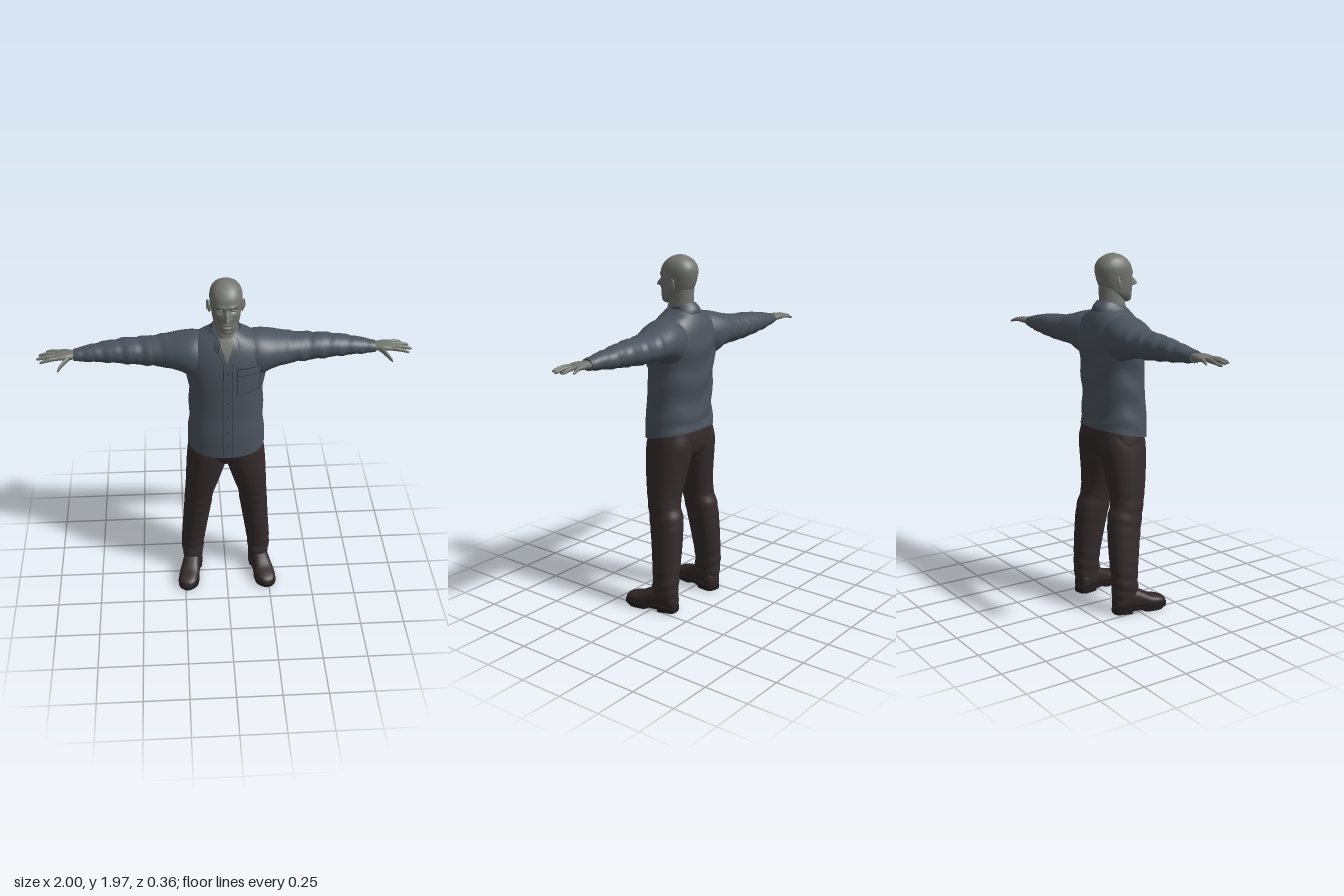
import * as THREE from 'three';

const paint = (name, color, side = THREE.FrontSide) => {
  const m = new THREE.MeshStandardMaterial({ color, side });
  m.name = name;
  return m;
};

// Smooth lookup in a key table; the first column is the parameter
function sample(keys, p) {
  let i = 0;
  while (i < keys.length - 2 && p > keys[i + 1][0]) i++;
  const a = keys[i], b = keys[i + 1], h = b[0] - a[0], t = (p - a[0]) / h;
  const slope = (k, c) => {
    const l = keys[Math.max(k - 1, 0)], r = keys[Math.min(k + 1, keys.length - 1)];
    return (r[c] - l[c]) / (r[0] - l[0]);
  };
  return a.map((v, c) => c === 0 ? p :
    v * (1 + 2 * t) * (1 - t) ** 2 + b[c] * t * t * (3 - 2 * t) +
    h * (slope(i, c) * t * (1 - t) ** 2 - slope(i + 1, c) * t * t * (1 - t)));
}

// Closed tube through interpolated cross-sections, capped at both ends
function loft(keys, rows, cols, place) {
  const pos = [], idx = [], first = keys[0][0], last = keys[keys.length - 1][0];
  for (let i = 0; i <= rows; i++) {
    const k = sample(keys, first + (last - first) * (1 - Math.cos(Math.PI * i / rows)) / 2);
    for (let j = 0; j < cols; j++) {
      const a = j / cols * Math.PI * 2;
      pos.push(...place(k, Math.cos(a), Math.sin(a), a));
      if (i < rows) {
        const p = i * cols + j, q = i * cols + (j + 1) % cols;
        idx.push(p, p + cols, q, q, p + cols, q + cols);
      }
    }
  }
  for (const row of [0, rows]) {
    const base = pos.length / 3, ring = pos.slice(row * cols * 3, (row + 1) * cols * 3);
    const mid = [0, 1, 2].map(c => ring.reduce((s, v, n) => n % 3 === c ? s + v : s, 0) / cols);
    pos.push(...ring, ...mid);
    for (let j = 0; j < cols; j++) {
      const p = base + j, q = base + (j + 1) % cols, m = base + cols;
      idx.push(...(row ? [p, m, q] : [p, q, m]));
    }
  }
  return build(pos, idx);
}

// Open sheet from a function of two parameters in 0..1
function sheet(nu, nv, fn) {
  const pos = [], idx = [];
  for (let i = 0; i <= nv; i++) for (let j = 0; j <= nu; j++) {
    pos.push(...fn(j / nu, i / nv));
    if (i < nv && j < nu) {
      const p = i * (nu + 1) + j, q = p + nu + 1;
      idx.push(p, p + 1, q, p + 1, q + 1, q);
    }
  }
  return build(pos, idx);
}

function build(pos, idx) {
  const g = new THREE.BufferGeometry();
  g.setAttribute('position', new THREE.Float32BufferAttribute(pos, 3));
  g.setIndex(idx);
  g.computeVertexNormals();
  return g;
}

function mirror(geo) {
  const g = geo.clone().scale(-1, 1, 1), ix = g.index;
  if (!ix) {
    const order = [];
    for (let i = 0; i < g.attributes.position.count; i += 3) order.push(i, i + 2, i + 1);
    g.setIndex(order);
  } else for (let i = 0; i < ix.count; i += 3) {
    const b = ix.getX(i + 1);
    ix.setX(i + 1, ix.getX(i + 2));
    ix.setX(i + 2, b);
  }
  return g;
}

const power = (v, n) => Math.sign(v) * Math.abs(v) ** (2 / n);
const bell = (d, s) => Math.exp(-((d / s) ** 2));
const step = THREE.MathUtils.smoothstep;

// Torso sections: y, half width, front z, back z
const TORSO = [[1.0, .212, .15, -.163], [1.1, .205, .15, -.156], [1.2, .2, .141, -.156], [1.35, .2, .135, -.165],
  [1.45, .213, .13, -.171], [1.53, .222, .12, -.172], [1.6, .2, .1, -.157], [1.645, .15, .078, -.137],
  [1.67, .1, .063, -.12], [1.69, .078, .05, -.108]];
const torsoZ = (x, y) => {
  const [, w, f, b] = sample(TORSO, Math.max(y, 1));
  return (f + b) / 2 + (f - b) / 2 * Math.max(0, 1 - Math.abs(x / w) ** 2.3) ** (1 / 2.3);
};
const onChest = (y0, y1, left, right, off) => sheet(10, 24, (u, v) => {
  const y = y0 + (y1 - y0) * v, x = left(y) + (right(y) - left(y)) * u;
  return [x, y, torsoZ(x, y) + off];
});

// Raised nose, brow, lips and chin with sunken eye sockets
function face(x, y) {
  const ax = Math.abs(x);
  const nose = .046 * step(y, 1.786, 1.8) * (1 - step(y, 1.798, 1.862)) * bell(x, .011 + .006 * bell(y - 1.798, .012));
  return nose + .007 * bell(y - 1.865, .009) * bell(ax - .03, .03) - .015 * bell(ax - .032, .017) * bell(y - 1.845, .011)
    + .004 * bell(ax - .05, .016) * bell(y - 1.815, .014) - .005 * bell(ax - .045, .016) * bell(y - 1.768, .02)
    + (.006 * bell(y - 1.766, .006) - .006 * bell(y - 1.757, .0035) + .006 * bell(y - 1.748, .006)) * bell(x, .023)
    + .007 * bell(y - 1.723, .011) * bell(x, .022);
}

export function createModel() {
  const model = new THREE.Group();
  model.name = 'standingMan';
  const skin = paint('skin', 0x73756f), shirt = paint('shirt', 0x4b535d), trouser = paint('trousers', 0x352c2c);
  const leather = paint('shoeLeather', 0x302727), soleMat = paint('soles', 0x221d1e);
  const cloth = paint('shirtTrim', 0x4b535e, THREE.DoubleSide), seam = paint('seams', 0x30353c, THREE.DoubleSide);
  const chestSkin = paint('chestSkin', 0x73756f, THREE.DoubleSide);
  const add = (name, geo, mat) => {
    const m = new THREE.Mesh(geo, mat);
    m.name = name;
    model.add(m);
  };
  const pair = (name, geo, mat) => {
    add(name + 'Left', geo, mat);
    add(name + 'Right', mirror(geo), mat);
  };
  const upright = n => ([y, w, f, b], c, s) => [w * power(c, n), y, (f + b) / 2 + (f - b) / 2 * power(s, n)];
  const sideways = (n, fold = () => 0) => ([x, t, b, f, k], c, s, a) => {
    const r = 1 + fold(x, a);
    return [x, (t + b) / 2 + (t - b) / 2 * r * power(s, n), (f + k) / 2 + (f - k) / 2 * r * power(c, n)];
  };

  // Head and neck
  add('head', loft([[1.708, .022, .085, .03], [1.715, .036, .094, .01], [1.735, .054, .099, -.03], [1.76, .067, .101, -.065],
    [1.8, .075, .103, -.09], [1.84, .081, .102, -.104], [1.88, .085, .098, -.111], [1.91, .081, .088, -.106],
    [1.94, .066, .063, -.084], [1.96, .04, .031, -.051], [1.967, .021, .01, -.03], [1.97, .003, -.007, -.013]],
  100, 112, (k, c, s) => {
    const p = upright(2.2)(k, c, s);
    p[2] += face(p[0], p[1]) * step(s, 0, .5);
    return p;
  }), skin);
  add('neck', loft([[1.58, .07, .07, -.1], [1.68, .064, .064, -.092], [1.72, .061, .052, -.09], [1.79, .06, .03, -.09]],
    16, 40, upright(2)), skin);
  pair('eyelid', new THREE.SphereGeometry(.012, 16, 12).scale(1.2, .65, .7).translate(.032, 1.843, .083), skin);
  pair('ear', new THREE.SphereGeometry(.03, 20, 14).scale(.28, 1, .62).rotateY(-.3).rotateX(-.15).translate(.086, 1.814, -.022), skin);
  pair('earRim', new THREE.TorusGeometry(.024, .005, 8, 28, 4.4).rotateZ(-.9).scale(.7, 1.2, 1)
    .rotateY(Math.PI / 2 - .3).rotateX(-.15).translate(.092, 1.816, -.024), skin);

  // Shirt body, with the hem dipping at the front
  add('shirtBody', loft(TORSO, 64, 80, (k, c, s, a) => {
    const p = upright(2.3)(k, c, s), y = k[0];
    const fold = .004 * Math.sin(y * 34 + 3 * c + Math.sin(a * 3) * 1.5) * (1 - step(s, 0, .5)) * step(y, 1, 1.08) * (1 - step(y, 1.5, 1.6));
    p[0] += c * fold;
    p[2] += s * fold;
    p[1] -= .034 * power(s, 2.3) * (1 - step(y, 1, 1.14));
    return p;
  }), shirt);

  // Open neckline, button strip and chest pocket
  add('openNeckline', onChest(1.55, 1.672, y => (1.55 - y) * .36, y => (y - 1.55) * .36, .006), chestSkin);
  add('placketSeam', onChest(.975, 1.55, () => -.022, () => .026, .004), seam);
  add('placket', onChest(.972, 1.555, () => -.019, () => .023, .006), cloth);
  const pocketLow = x => onChest(1.375 - x, 1.515 + x, () => .054 - x, () => .172 + x, .005 + (x ? 0 : .003));
  add('pocketSeam', pocketLow(.004), seam);
  add('pocket', pocketLow(0), cloth);
  add('pocketFlapSeam', onChest(1.477, 1.48, () => .054, () => .172, .0095), seam);
  for (let i = 0; i < 6; i++) {
    const y = 1.05 + i * .09;
    add('button' + (i + 1), new THREE.CylinderGeometry(.005, .005, .004, 12).rotateX(Math.PI / 2).translate(.002, y, torsoZ(0, y) + .007), seam);
  }

  // Turned-down collar with front points
  const collar = grow => sheet(60, 8, (u, v) => {
    const th = .5 - grow + u * (Math.PI * 2 - 1 + 2 * grow), c = Math.cos(th), f = (1 + c) / 2, w = 1 - v;
    const top = [.07 * Math.sin(th), 1.722 - .05 * f, -.015 + .083 * c];
    const low = [(.103 + grow * .04) * Math.sin(th), 1.665 - .02 * f - (.05 + grow * .1) * f ** 5, -.018 + .112 * c + .034 * f ** 4];
    return top.map((t, i) => t * v + low[i] * w + (i === 2 ? .01 * Math.sin(Math.PI * v) * c - grow * .06 * c : 0));
  });
  add('collar', collar(0), cloth);
  add('collarSeam', collar(.05), seam);

  // Sleeves with gathered folds
  pair('sleeve', loft([[.09, 1.645, 1.43, .07, -.145], [.17, 1.652, 1.405, .09, -.168], [.24, 1.638, 1.437, .075, -.175],
    [.32, 1.616, 1.45, .04, -.172], [.42, 1.6, 1.456, .012, -.166], [.5, 1.597, 1.462, .002, -.16], [.6, 1.586, 1.471, -.01, -.15],
    [.7, 1.57, 1.48, -.02, -.132], [.77, 1.557, 1.487, -.026, -.112], [.803, 1.55, 1.491, -.03, -.106]], 90, 40,
  sideways(2.1, (x, a) => step(x, .24, .4) * (.035 * Math.sin(x * 62 + 2.2 * Math.sin(a + 1))
    + .02 * Math.sin(x * 120 + 3 * Math.cos(a))) * (1 - .6 * step(x, .74, .8)))), shirt);

  // Hands
  pair('palm', loft([[.76, 1.543, 1.498, -.037, -.098], [.8, 1.541, 1.5, -.035, -.099], [.84, 1.544, 1.505, -.022, -.108],
    [.885, 1.539, 1.508, -.018, -.112], [.904, 1.531, 1.513, -.026, -.106]], 16, 28, sideways(2.3)), skin);
  const finger = (name, from, to, r) => pair(name, loft(
    [[0, r], [.3, r * .95], [.42, r * 1.03], [.6, r * .88], [.85, r * .75], [.95, r * .5], [1, r * .08]], 18, 14,
    ([t, q], c, s) => [from[0] + (to[0] - from[0]) * t,
      from[1] + (to[1] - from[1]) * t + .005 * Math.sin(Math.PI * t) + q * s, from[2] + (to[2] - from[2]) * t + q * c]), skin);
  finger('indexFinger', [.875, 1.523, -.031], [.98, 1.511, -.008], .0115);
  finger('middleFinger', [.88, 1.525, -.054], [1, 1.512, -.042], .0115);
  finger('ringFinger', [.88, 1.525, -.077], [.99, 1.512, -.084], .011);
  finger('littleFinger', [.875, 1.523, -.099], [.955, 1.51, -.122], .0095);
  finger('thumb', [.825, 1.518, -.042], [.888, 1.48, .03], .016);

  // Trousers
  add('trouserSeat', loft([[.835, .04, .03, -.07], [.87, .14, .075, -.115], [.92, .204, .108, -.147], [1, .206, .118, -.154],
    [1.07, .19, .11, -.145]], 24, 56, upright(2.4)), trouser);
  pair('trouserLeg', loft([[.085, .142, .254, .012, -.134], [.13, .136, .26, .015, -.139], [.2, .13, .263, .011, -.141],
    [.4, .1, .25, .036, -.145], [.54, .08, .24, .06, -.137], [.61, .073, .235, .072, -.114], [.7, .045, .23, .09, -.116],
    [.8, .014, .225, .105, -.13], [.86, -.004, .221, .111, -.14], [.95, -.01, .211, .115, -.15], [1.02, -.01, .195, .1, -.14]], 90, 40,
  ([y, i, o, f, b], c, s, a) => {
    const r = 1 + .03 * Math.sin(y * 85 + 2 * Math.sin(a)) * (bell(y - .17, .09) + .6 * bell(y - .56, .1));
    return [(i + o) / 2 + (o - i) / 2 * r * power(c, 2.2), y, (f + b) / 2 + (f - b) / 2 * r * power(s, 2.2)];
  }), trouser);

  // Shoes: upper, sole and heel, turned outwards
  const onFoot = g => g.rotateY(.2).translate(.211, 0, .012);
  pair('shoe', onFoot(loft([[-.143, .02, .07], [-.138, .038, .1], [-.11, .05, .125], [-.03, .052, .135], [.02, .054, .115],
    [.07, .058, .088], [.12, .055, .075], [.15, .042, .064], [.165, .022, .05], [.169, .006, .036]], 40, 32,
  ([z, w, h], c, s) => [w * power(s, 2.6), .015 + (h - .015) * (.5 + .5 * power(c, 2.4)), z])), leather);
  const slab = (pts, h, y) => onFoot(new THREE.ExtrudeGeometry(
    new THREE.Shape(new THREE.SplineCurve(pts.map(p => new THREE.Vector2(...p))).getPoints(48)),
    { depth: h, bevelEnabled: false }).rotateX(Math.PI / 2).translate(0, y + h, 0));
  pair('sole', slab([[0, -.148], [.04, -.135], [.052, -.08], [.05, 0], [.061, .07], [.055, .13], [.03, .165], [0, .174],
    [-.03, .165], [-.055, .13], [-.061, .07], [-.05, 0], [-.052, -.08], [-.04, -.135], [0, -.148]], .018, .012), soleMat);
  pair('heel', slab([[0, -.148], [.04, -.135], [.052, -.08], [.048, -.045], [0, -.038], [-.048, -.045], [-.052, -.08],
    [-.04, -.135], [0, -.148]], .014, 0), soleMat);
  pair('ballOfSole', slab([[0, .02], [.05, .03], [.059, .07], [.052, .125], [0, .165], [-.052, .125], [-.059, .07],
    [-.05, .03], [0, .02]], .014, 0), soleMat);
  return model;
}
